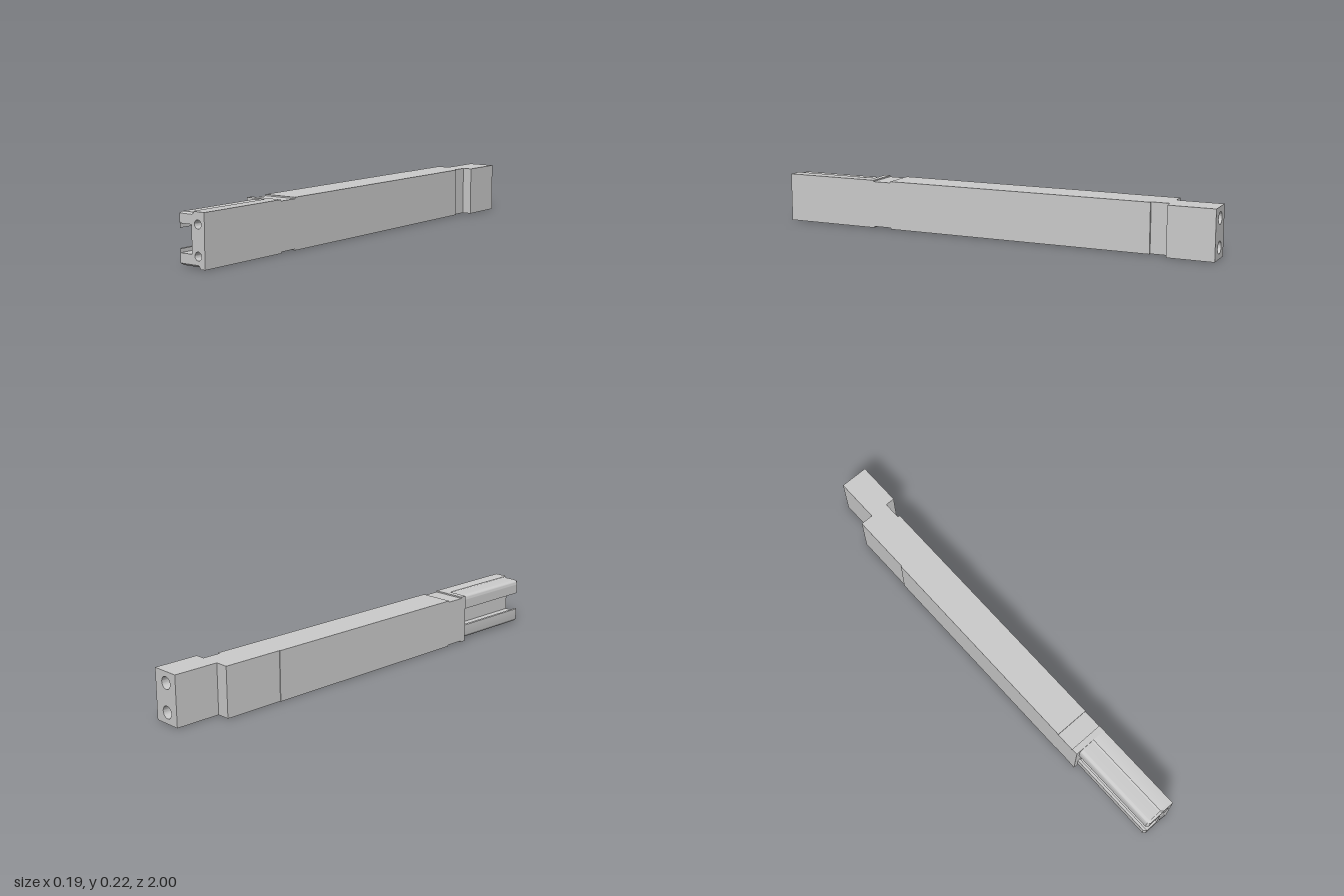
import * as THREE from 'three';
import { toCreasedNormals } from 'three/addons/utils/BufferGeometryUtils.js';

const H = 0.215;
const HOLES = [[0.027, 0.048], [0.027, 0.168]];
const material = new THREE.MeshStandardMaterial({ color: 0xcccccc });

// Extrudes a cross-section, drilled by both bolt holes, from z0 to z1
function section(name, shape, z0, z1, holeRadius = 0.017, reshape = null) {
  for (const [x, y] of HOLES) {
    shape.holes.push(new THREE.Path().absarc(x, y, holeRadius, 0, Math.PI * 2, true));
  }
  let geometry = new THREE.ExtrudeGeometry(shape, { depth: z1 - z0, bevelEnabled: false, curveSegments: 16 });
  geometry.translate(0, 0, z0);
  if (reshape) reshape(geometry.attributes.position, z1);
  geometry = toCreasedNormals(geometry, 0.6);
  const mesh = new THREE.Mesh(geometry, material);
  mesh.name = name;
  return mesh;
}

function rect(x0, x1, y0 = 0, y1 = H) {
  return new THREE.Shape([[x0, y0], [x1, y0], [x1, y1], [x0, y1]].map(p => new THREE.Vector2(...p)));
}

// C-shaped section: relieved outer lips, hooked channel open to -x
function gripShape() {
  const s = new THREE.Shape();
  s.moveTo(0.06, 0);
  s.lineTo(0.06, H);
  s.lineTo(0, H);
  s.quadraticCurveTo(0, 0.21, -0.008, 0.21);
  s.lineTo(-0.053, 0.21);
  s.quadraticCurveTo(-0.075, 0.21, -0.075, 0.188);
  s.lineTo(-0.075, 0.147);
  s.lineTo(-0.063, 0.147);
  s.lineTo(-0.063, 0.165);
  s.lineTo(-0.005, 0.165);
  s.lineTo(-0.005, 0.053);
  s.lineTo(-0.063, 0.053);
  s.lineTo(-0.063, 0.068);
  s.lineTo(-0.075, 0.068);
  s.lineTo(-0.075, 0.028);
  s.quadraticCurveTo(-0.075, 0.006, -0.053, 0.006);
  s.lineTo(0.022, 0.006);
  s.quadraticCurveTo(0.03, 0.006, 0.03, 0);
  return s;
}

// Pulls the outer lip edge inward on the front face to chamfer it
function chamferLip(position, front) {
  for (let i = 0; i < position.count; i++) {
    const x = position.getX(i), y = position.getY(i);
    if (Math.abs(position.getZ(i) - front) > 1e-5 || x > 0.05) continue;
    if (y < 1e-5 || y > H - 1e-5) position.setX(i, x + 0.008);
    else position.setXY(i, Math.max(x, -0.065), THREE.MathUtils.clamp(y, 0.014, 0.203));
  }
}

export function createModel() {
  const model = new THREE.Group();
  model.name = 'jointedBar';

  // Offset rear block with counterbored holes
  model.add(
    section('rearBlockCounterbore', rect(-0.033, 0.092), -1, -0.96, 0.026),
    section('rearBlock', rect(-0.033, 0.092), -0.96, -0.8),
  );

  // Long body with a relieved neck and a shallow groove above and below
  model.add(
    section('bodyNeck', rect(-0.09, 0.05), -0.8, -0.72),
    section('bodyRear', rect(-0.09, 0.06), -0.72, -0.53),
    section('bodyMain', rect(-0.093, 0.06), -0.53, 0.48),
    section('bodyGroove', rect(-0.093, 0.06, 0.006, H - 0.006), 0.48, 0.565),
    section('bodyCollar', rect(-0.093, 0.06), 0.565, 0.593),
  );

  // Channelled front end
  model.add(
    section('frontChannel', gripShape(), 0.593, 0.99),
    section('frontChannelChamfer', gripShape(), 0.99, 1, 0.017, chamferLip),
  );

  // Small ramp where the channel meets the collar
  const ramp = new THREE.Shape();
  ramp.moveTo(-0.063, -0.593);
  ramp.lineTo(-0.04, -0.62);
  ramp.lineTo(-0.04, -0.593);
  const rampGeometry = new THREE.ExtrudeGeometry(ramp, { depth: 0.079, bevelEnabled: false });
  rampGeometry.rotateX(-Math.PI / 2);
  rampGeometry.translate(0, 0.068, 0);
  const rampMesh = new THREE.Mesh(rampGeometry, material);
  rampMesh.name = 'channelRamp';
  model.add(rampMesh);

  return model;
}
